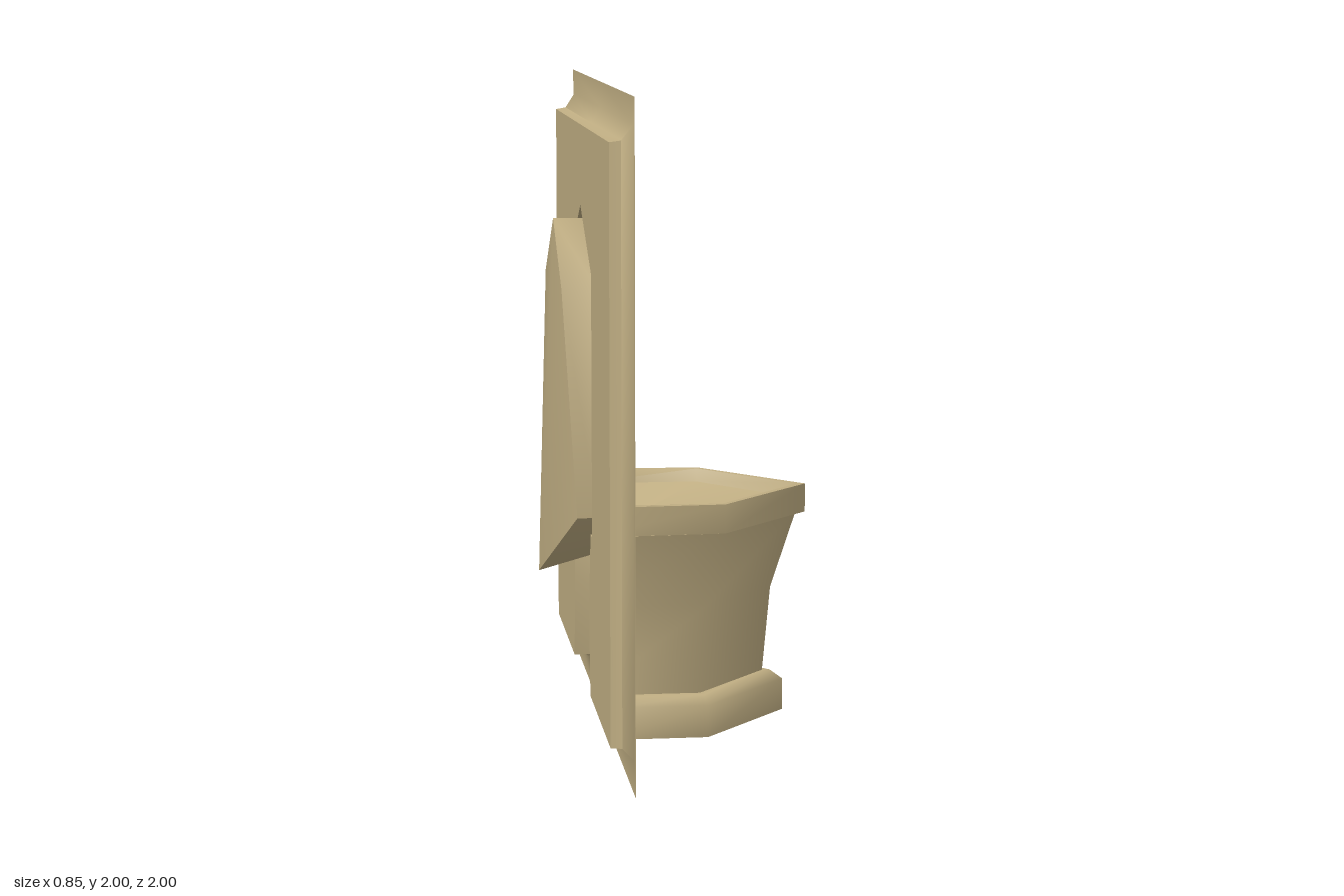
import * as THREE from 'three';
import { toCreasedNormals } from 'three/addons/utils/BufferGeometryUtils.js';

const material = new THREE.MeshStandardMaterial({ color: 0xbfad82, side: THREE.DoubleSide });

function makeMesh(name, geometry, crease = 1.1) {
  const mesh = new THREE.Mesh(toCreasedNormals(geometry, crease), material);
  mesh.name = name;
  return mesh;
}

// Skin a list of rows, each a list of [x, y, z] points; collapsed triangles are skipped.
function loft(rows) {
  const positions = [];
  const same = (p, q) => p.every((v, k) => v === q[k]);
  const triangle = (a, b, c) => {
    if (!same(a, b) && !same(b, c) && !same(c, a)) positions.push(...a, ...b, ...c);
  };
  for (let r = 0; r < rows.length - 1; r++) {
    for (let i = 0; i < rows[r].length - 1; i++) {
      const a = rows[r][i], b = rows[r][i + 1];
      const c = rows[r + 1][i + 1], d = rows[r + 1][i];
      triangle(a, b, c);
      triangle(a, c, d);
    }
  }
  const geometry = new THREE.BufferGeometry();
  geometry.setAttribute('position', new THREE.Float32BufferAttribute(positions, 3));
  return geometry;
}

// Complete a half path that ends on z = 0 with its mirror image.
function mirrored(half) {
  const other = half.slice(0, -1).reverse().map(([x, y, z]) => [x, y, -z]);
  return [...half, ...other];
}

// Pointed five-point plan: straight sides, then a wedge to the tip.
const plan = (y, width, cornerX, tipX, backX = -0.29, cornerWidth = width) =>
  mirrored([[backX, y, width], [cornerX, y, cornerWidth], [tipX, y, 0]]);

export function createModel() {
  const group = new THREE.Group();

  // Flat wall panel, cut out behind the niche and pedestal
  const side = [
    [0.285, 0.13], [0.25, 0.4], [0.31, 0.64], [0.36, 0.64], [0.36, 1.44], [0, 1.62],
  ];
  const outline = [
    [0.925, 0.13], [0.925, 1.87], [-0.925, 1.87], [-0.925, 0.13],
    ...side.map(([z, y]) => [-z, y]),
    ...side.slice(0, -1).reverse(),
  ];
  const shape = new THREE.Shape(outline.map(([z, y]) => new THREE.Vector2(z, y)));
  const panel = new THREE.ShapeGeometry(shape).rotateY(Math.PI / 2).translate(-0.29, 0, 0);
  group.add(makeMesh('wallPanel', panel));

  // Raised moulding around the panel, open at the bottom for the base
  const frameRow = (x, width, bottom, top, gap) => mirrored([
    [x, bottom, gap], [x, bottom, width], [x, top, width], [x, top, 0],
  ]);
  group.add(makeMesh('wallFrame', loft([
    frameRow(-0.29, 0.925, 0.13, 1.87, 0.285),
    frameRow(-0.257, 0.935, 0.13, 1.875, 0.31),
    frameRow(-0.225, 0.965, 0.1, 1.92, 0.33),
    frameRow(-0.225, 1, 0, 2, 0.33),
  ])));

  // Base plinth with bevelled top
  group.add(makeMesh('base', loft([
    plan(0, 0.33, 0.07, 0.35, -0.225),
    plan(0.1, 0.33, 0.07, 0.35, -0.225),
    plan(0.13, 0.31, 0.06, 0.31, -0.257),
    plan(0.13, 0.285, 0.05, 0.285),
  ])));

  // Waisted pedestal, flaring to the ledge under the rim
  group.add(makeMesh('pedestal', loft([
    plan(0.13, 0.285, 0.05, 0.285),
    plan(0.4, 0.25, 0.08, 0.31),
    plan(0.64, 0.31, 0.11, 0.39),
    plan(0.64, 0.365, 0.12, 0.42, -0.29, 0.345),
  ])));

  // One continuous rim around the upright niche and the level bowl
  const rimRow = (x, peak, shoulder, width, seatY, cornerX, cornerWidth, tipX) => mirrored([
    [x, peak, 0], [x, shoulder, width], [x, seatY, width],
    [cornerX, seatY, cornerWidth], [tipX, seatY, 0],
  ]);
  group.add(makeMesh('rim', loft([
    rimRow(-0.29, 1.62, 1.44, 0.362, 0.64, 0.12, 0.345, 0.42),
    rimRow(-0.225, 1.62, 1.44, 0.36, 0.73, 0.12, 0.345, 0.42),
    rimRow(-0.225, 1.6, 1.41, 0.335, 0.73, 0.115, 0.325, 0.39),
    rimRow(-0.265, 1.58, 1.39, 0.31, 0.69, 0.11, 0.31, 0.365),
  ])));

  // Niche side walls and pointed roof
  group.add(makeMesh('nicheWalls', loft([
    mirrored([[-0.265, 0.69, 0.31], [-0.265, 1.39, 0.31], [-0.265, 1.58, 0]]),
    mirrored([[-0.33, 0.69, 0.31], [-0.375, 1.39, 0.31], [-0.375, 1.58, 0]]),
  ])));

  // Niche back and sloping basin both fan out from the lowest point
  const low = [-0.425, 0.47, 0];
  const fan = (edge) => loft([edge, edge.map(() => low)]);
  group.add(makeMesh('nicheBack', fan(
    mirrored([[-0.33, 0.69, 0.31], [-0.375, 1.39, 0.31], [-0.375, 1.58, 0]]),
  )));
  group.add(makeMesh('basin', fan(
    mirrored([[-0.33, 0.69, 0.31], [-0.265, 0.69, 0.31], [0.11, 0.69, 0.31], [0.365, 0.69, 0]]),
  )));

  return group;
}
